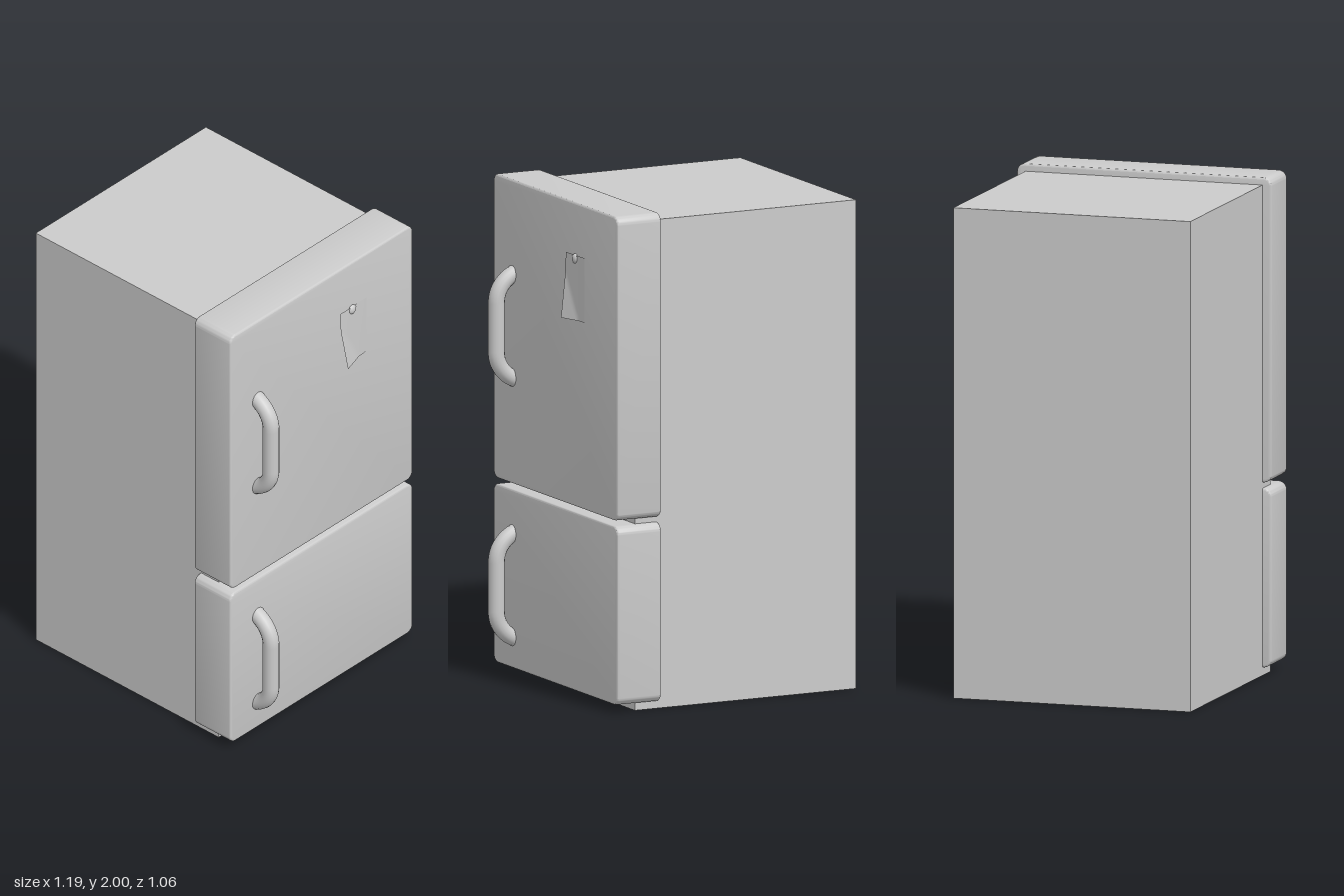
import * as THREE from 'three';
import { toCreasedNormals } from 'three/addons/utils/BufferGeometryUtils.js';

const material = new THREE.MeshStandardMaterial({ color: 0xcccccc });
const paperMaterial = new THREE.MeshStandardMaterial({ color: 0xcccccc, side: THREE.DoubleSide });

function addMesh(parent, name, geometry, mat = material) {
  const mesh = new THREE.Mesh(geometry, mat);
  mesh.name = name;
  parent.add(mesh);
  return mesh;
}

// Door slab with rounded corners and softly bevelled edges, facing +x
function doorGeometry(y0, y1) {
  const bevel = 0.008, r = 0.026, x0 = 0.294, x1 = 0.49;
  const w = 0.532 - bevel, b = y0 + bevel, t = y1 - bevel;
  const s = new THREE.Shape();
  s.moveTo(-w + r, b);
  s.lineTo(w - r, b);
  s.absarc(w - r, b + r, r, -Math.PI / 2, 0);
  s.lineTo(w, t - r);
  s.absarc(w - r, t - r, r, 0, Math.PI / 2);
  s.lineTo(-w + r, t);
  s.absarc(-w + r, t - r, r, Math.PI / 2, Math.PI);
  s.lineTo(-w, b + r);
  s.absarc(-w + r, b + r, r, Math.PI, Math.PI * 1.5);
  const geo = new THREE.ExtrudeGeometry(s, {
    depth: x1 - x0 - 2 * bevel, bevelThickness: bevel, bevelSize: bevel,
    bevelSegments: 3, curveSegments: 6,
  });
  geo.rotateY(Math.PI / 2);
  geo.translate(x0 + bevel, 0, 0);
  return toCreasedNormals(geo, 0.7);
}

// Bowed grip: straight in the middle, curving back into the door at both ends
function handleGeometry(yc) {
  const p = (x, y) => new THREE.Vector3(x, yc + y, 0.37);
  const path = new THREE.CurvePath();
  path.add(new THREE.CubicBezierCurve3(p(0.45, -0.222), p(0.51, -0.21), p(0.56, -0.165), p(0.56, -0.1)));
  path.add(new THREE.LineCurve3(p(0.56, -0.1), p(0.56, 0.1)));
  path.add(new THREE.CubicBezierCurve3(p(0.56, 0.1), p(0.56, 0.165), p(0.51, 0.21), p(0.45, 0.222)));
  return new THREE.TubeGeometry(path, 40, 0.033, 16, false);
}

// Paper sheet whose lower front corner curls away from the door
function noteGeometry() {
  const geo = new THREE.PlaneGeometry(0.155, 0.26, 10, 12);
  const pos = geo.attributes.position;
  for (let i = 0; i < pos.count; i++) {
    const u = 0.5 - pos.getX(i) / 0.155; // 0 at the back edge, 1 at the free edge
    const v = 0.5 - pos.getY(i) / 0.26; // 0 at the top, 1 at the bottom
    const side = 1 - u;
    const curl = Math.max(0, (side + v - 1.3) / 0.7);
    const x = 0.493 + 0.01 * side * (0.3 + 0.7 * v) + 0.022 * curl;
    const z = -0.257 + 0.155 * side - 0.014 * curl;
    pos.setXYZ(i, x, 1.79 - 0.26 * v, z);
  }
  geo.computeVertexNormals();
  return geo;
}

export function createModel() {
  const model = new THREE.Group();
  model.name = 'refrigerator';

  // Cabinet
  addMesh(model, 'cabinet', new THREE.BoxGeometry(0.986, 1.97, 0.99)).position.set(-0.1, 0.985, 0);

  // Doors and their handles
  const doors = [
    { name: 'upperDoor', y0: 0.775, y1: 2, grip: 1.41 },
    { name: 'lowerDoor', y0: 0.032, y1: 0.752, grip: 0.365 },
  ];
  for (const d of doors) {
    const door = new THREE.Group();
    door.name = d.name;
    addMesh(door, d.name + 'Panel', doorGeometry(d.y0, d.y1));
    addMesh(door, d.name + 'Handle', handleGeometry(d.grip));
    model.add(door);
  }

  // Note held by a small round magnet
  addMesh(model, 'note', noteGeometry(), paperMaterial);
  const magnet = addMesh(model, 'magnet', new THREE.SphereGeometry(0.02, 16, 12));
  magnet.scale.x = 0.6;
  magnet.position.set(0.492, 1.775, -0.175);

  return model;
}
